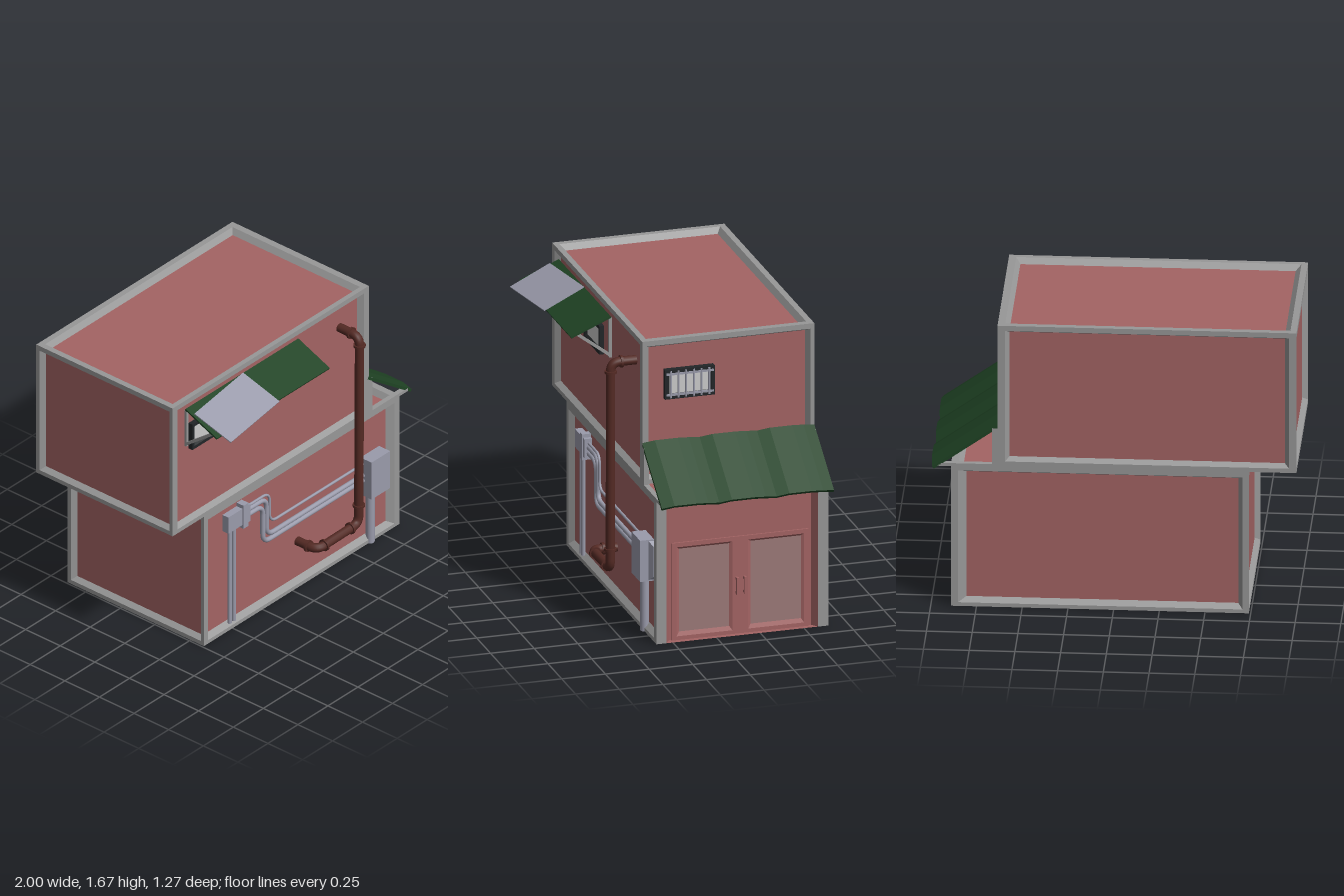
import * as THREE from 'three';

const mat = (color, flatShading = false) =>
  new THREE.MeshStandardMaterial({ color, flatShading, roughness: 0.9, side: THREE.DoubleSide });
const M = {
  frame: mat(0x979797, true),
  wall: mat(0xa36363, true),
  glass: mat(0x9c7a78),
  pane: mat(0xc0c0c0),
  dark: mat(0x222628, true),
  green: mat(0x1f4324, true),
  metal: mat(0x9a9bab, true),
  conduit: mat(0x9a9bab),
  rust: mat(0x542a24),
};
const V = (x, y, z) => new THREE.Vector3(x, y, z);

function add(parent, name, geo, material, x = 0, y = 0, z = 0) {
  const m = new THREE.Mesh(geo, material);
  m.name = name;
  m.position.set(x, y, z);
  parent.add(m);
  return m;
}
const box = (p, name, material, w, h, d, x, y, z) => add(p, name, new THREE.BoxGeometry(w, h, d), material, x, y, z);

// Box bar between two points
function bar(p, name, material, a, b, t) {
  const m = box(p, name, material, t, t, a.distanceTo(b), 0, 0, 0);
  m.position.copy(a).add(b).multiplyScalar(0.5);
  m.lookAt(b);
}

// Bevelled frame around an inset panel, facing +z; no panelMat leaves it open.
// flat and inner are [left, right, bottom, top] insets; skirt adds side walls behind.
const none = [0, 0, 0, 0];
function insetPanel(name, w, h, flat, inner, depth, frameMat, panelMat, skirt = 0, bevelMat = frameMat) {
  const ring = ([l, r, b, t], z) => [
    V(-w / 2 + l, -h / 2 + b, z), V(w / 2 - r, -h / 2 + b, z), V(w / 2 - r, h / 2 - t, z), V(-w / 2 + l, h / 2 - t, z)];
  const back = ring(none, -skirt), outer = ring(none, 0), lip = ring(flat, 0), floor = ring(inner, -depth);
  const band = (o, q) => o.flatMap((_, k) => {
    const n = (k + 1) % 4;
    return [o[k], o[n], q[n], o[k], q[n], q[k]];
  });
  const g = new THREE.Group();
  g.name = name;
  const build = (part, points, material) => {
    const geo = new THREE.BufferGeometry().setFromPoints(points);
    geo.computeVertexNormals();
    add(g, name + part, geo, material);
  };
  const frame = [...(skirt ? band(back, outer) : []), ...(flat === none ? [] : band(outer, lip))];
  if (frame.length) build('Frame', frame, frameMat);
  if (depth) build('Bevel', band(lip, floor), bevelMat);
  const [a, b, c, d] = floor;
  if (panelMat) build('Panel', [a, b, c, a, c, d], panelMat);
  return g;
}

function place(parent, obj, x, y, z, rx = 0, ry = 0) {
  obj.position.set(x, y, z);
  obj.rotation.set(rx, ry, 0);
  parent.add(obj);
}

// One storey: six framed faces, each given as [flat, inner, depth, panel, bevel]
function storey(root, name, x0, x1, y0, y1, z0, z1, insets) {
  const g = new THREE.Group();
  g.name = name;
  root.add(g);
  const W = x1 - x0, H = y1 - y0, D = z1 - z0;
  const cx = (x0 + x1) / 2, cy = (y0 + y1) / 2, cz = (z0 + z1) / 2, P = Math.PI;
  const faces = [
    ['front', W, H, cx, cy, z1, 0, 0], ['back', W, H, cx, cy, z0, 0, P],
    ['right', D, H, x1, cy, cz, 0, P / 2], ['left', D, H, x0, cy, cz, 0, -P / 2],
    ['top', W, D, cx, y1, cz, -P / 2, 0], ['bottom', W, D, cx, y0, cz, P / 2, 0]];
  for (const [side, w, h, x, y, z, rx, ry] of faces) {
    const [f, s, d, panel = M.wall, bevel = M.frame] = insets[side];
    place(g, insetPanel(side + 'Wall', w, h, f, s, d, M.frame, panel, 0, bevel), x, y, z, rx, ry);
  }
}

// Tube through points with rounded corners
function pipe(p, name, pts, r, bend, material, seg = 90) {
  const path = new THREE.CurvePath();
  let last = pts[0];
  for (let i = 1; i < pts.length - 1; i++) {
    const toward = (q) => pts[i].clone().add(q.clone().sub(pts[i]).setLength(bend));
    const a = toward(pts[i - 1]), b = toward(pts[i + 1]);
    path.add(new THREE.LineCurve3(last, a));
    path.add(new THREE.QuadraticBezierCurve3(a, pts[i], b));
    last = b;
  }
  path.add(new THREE.LineCurve3(last, pts[pts.length - 1]));
  add(p, name, new THREE.TubeGeometry(path, seg, r, 12), material);
}

function buildWindow(root, name, w, h) {
  const g = insetPanel(name, w, h, Array(4).fill(0.019), [0.028, 0.028, 0.03, 0.028], 0.012, M.dark, M.pane, 0.035);
  root.add(g);
  return g;
}

export function createModel() {
  const root = new THREE.Group();
  root.name = 'building';

  // Storeys; the lower one is open underneath
  const long = [[0.04, 0.04, 0.025, 0.03], [0.065, 0.065, 0.045, 0.045], 0.03];
  const short = [[0.025, 0.022, 0.025, 0.03], [0.045, 0.043, 0.045, 0.045], 0.03];
  const roofInset = [[0.035, 0.04, 0.03, 0.035], [0.065, 0.065, 0.057, 0.058], 0.03];
  storey(root, 'upperStorey', -1, 0.635, 0.84, 1.67, -0.64, 0.345, {
    front: long, back: long, right: short, left: short, top: roofInset, bottom: roofInset });
  storey(root, 'lowerStorey', -0.74, 0.89, 0, 0.84, -0.64, 0.345, {
    front: [[0.035, 0.04, 0.022, 0.035], [0.06, 0.083, 0.048, 0.05], 0.03],
    back: [[0.04, 0.035, 0.022, 0.035], [0.083, 0.06, 0.048, 0.05], 0.03],
    right: [[0.058, 0.06, 0, 0.04], [0.083, 0.087, 0, 0.043], 0.04, M.wall, M.wall],
    left: short,
    top: roofInset,
    bottom: [[0.034, 0, 0.034, 0.034], none, 0, null],
  });
  for (const z of [0.316, -0.61]) box(root, 'postFoot', M.frame, 0.044, 0.02, 0.054, 0.866, 0.011, z);
  place(root, insetPanel('room', 1.552, 0.917, none, none, 0, M.wall, M.wall, 0.802), 0.07, 0.803, -0.1475, -Math.PI / 2);
  box(root, 'partition', M.wall, 0.02, 0.77, 0.91, -0.54, 0.405, -0.1475);

  // Double doors: one slab with two glazed openings and handles
  const slab = new THREE.Shape([[-0.392, 0], [0.392, 0], [0.392, 0.565], [-0.392, 0.565]].map((p) => new THREE.Vector2(...p)));
  const doors = new THREE.Group();
  doors.name = 'doors';
  for (const s of [-0.205, 0.205]) {
    const hole = [[s - 0.16, 0.022], [s - 0.16, 0.54], [s + 0.16, 0.54], [s + 0.16, 0.022]];
    slab.holes.push(new THREE.Path(hole.map((p) => new THREE.Vector2(...p))));
    place(doors, insetPanel('doorGlass', 0.32, 0.518, none, [0.016, 0.016, 0.024, 0.012], 0.009, M.wall, M.glass), s, 0.281, 0.01);
    const h = Math.sign(s) * 0.0225;
    box(doors, 'doorHandle', M.wall, 0.014, 0.1, 0.01, h, 0.285, 0.034);
    for (const y of [0.245, 0.325]) box(doors, 'handleMount', M.wall, 0.012, 0.014, 0.024, h, y, 0.02);
  }
  add(doors, 'doorSlab', new THREE.ExtrudeGeometry(slab, { depth: 0.01, bevelEnabled: false }), M.wall);
  place(root, doors, 0.8505, 0, -0.145, 0, Math.PI / 2);

  // Windows
  for (const x of [-0.69, -0.293]) buildWindow(root, 'frontWindow', 0.285, 0.165).position.set(x, 1.4, 0.343);
  const side = buildWindow(root, 'sideWindow', 0.285, 0.17);
  side.position.set(0.638, 1.405, 0.073);
  side.rotation.y = Math.PI / 2;
  for (let i = 0; i < 6; i++) {
    add(side, 'windowBar', new THREE.CylinderGeometry(0.006, 0.006, 0.155, 8), M.conduit, -0.11 + i * 0.044, 0, 0.001);
  }
  for (const y of [-0.06, 0.06]) box(side, 'windowRail', M.metal, 0.27, 0.012, 0.008, 0, y, 0.001);

  // Front awning with a loose metal sheet
  const awning = new THREE.Group();
  awning.name = 'frontAwning';
  awning.position.set(0, 1.608, 0.34);
  awning.rotation.x = Math.atan2(0.095, 0.225);
  root.add(awning);
  box(awning, 'awningRoof', M.green, 0.94, 0.01, 0.247, -0.419, 0, 0.1235);
  const sheet = box(awning, 'looseSheet', M.metal, 0.465, 0.006, 0.26, -0.632, 0.012, 0.158);
  sheet.rotation.y = 0.115;
  for (const x of [-0.88, 0.035]) {
    bar(root, 'awningPost', M.frame, V(x, 1.37, 0.34), V(x, 1.6, 0.34), 0.016);
    bar(root, 'awningStrut', M.frame, V(x, 1.385, 0.345), V(x, 1.525, 0.53), 0.016);
  }

  // Wavy side awning: a corrugated profile swept down the slope
  const wave = [];
  for (let i = 0; i < 3; i++) {
    const s = -0.345 + i * 0.3283;
    wave.push([s, -0.009], [s + 0.07, 0.006], [s + 0.2, 0.006], [s + 0.265, 0]);
  }
  wave.push([0.64, -0.009]);
  const profile = new THREE.Shape([
    ...wave.map(([s, y]) => new THREE.Vector2(s, y)),
    ...[...wave].reverse().map(([s, y]) => new THREE.Vector2(s, y - 0.016))]);
  const roof = add(root, 'sideAwning', new THREE.ExtrudeGeometry(profile, { depth: 0.441, bevelEnabled: false }), M.green, 0.639, 1.088, 0);
  const down = V(0.355, -0.253, 0).normalize(), along = V(0, 0, -1);
  roof.quaternion.setFromRotationMatrix(new THREE.Matrix4().makeBasis(along, down.clone().cross(along), down));
  for (const z of [0.33, -0.625]) {
    box(root, 'sideAwningPost', M.frame, 0.03, 0.22, 0.03, 0.65, 0.95, z);
    box(root, 'sideAwningArm', M.frame, 0.325, 0.018, 0.03, 0.8, 0.838, z);
  }

  // Rusty drain pipe with collars
  pipe(root, 'drainPipe', [V(0.425, 1.49, 0.314), V(0.425, 1.49, 0.46), V(0.418, 0.285, 0.46),
    V(0.075, 0.275, 0.455), V(0.075, 0.275, 0.314)], 0.026, 0.055, M.rust, 200);
  const collar = (x, y, z, axis) => {
    const c = add(root, 'pipeCollar', new THREE.CylinderGeometry(0.034, 0.034, 0.014, 16), M.rust, x, y, z);
    if (axis === 'x') c.rotation.z = Math.PI / 2;
    if (axis === 'z') c.rotation.x = Math.PI / 2;
  };
  collar(0.425, 1.435, 0.46, 'y');
  collar(0.419, 0.4, 0.46, 'y');
  collar(0.35, 0.283, 0.459, 'x');
  collar(0.135, 0.277, 0.456, 'x');
  collar(0.425, 1.49, 0.4, 'z');
  collar(0.075, 0.275, 0.395, 'z');

  // Junction box on the left of the front wall
  box(root, 'junctionBox', M.metal, 0.12, 0.105, 0.043, -0.49, 0.695, 0.336);
  box(root, 'junctionFlange', M.metal, 0.04, 0.15, 0.05, -0.412, 0.695, 0.34);
  box(root, 'junctionOutlet', M.metal, 0.025, 0.11, 0.045, -0.38, 0.695, 0.338);
  for (const x of [-0.51, -0.475]) {
    add(root, 'groundConduit', new THREE.CylinderGeometry(0.012, 0.012, 0.61, 12), M.conduit, x, 0.34, 0.332);
  }

  // Conduits running to the meter box
  for (const [y, x, yEnd, r] of [[0.722, -0.178, 0.525, 0.008], [0.698, -0.205, 0.453, 0.014], [0.664, -0.235, 0.42, 0.014]]) {
    pipe(root, 'conduit', [V(-0.37, y, 0.333), V(x, y, 0.333), V(x, yEnd, 0.333), V(0.61, yEnd, 0.333)], r, 0.06, M.conduit);
  }

  // Meter box with a tapered side and a pipe to the ground
  box(root, 'meterBox', M.metal, 0.155, 0.24, 0.08, 0.677, 0.44, 0.355);
  const taper = insetPanel('meterBoxSide', 0.032, 0.225, none, [0.02, 0, 0.025, 0.025], -0.031, M.metal, M.metal);
  place(root, taper, 0.754, 0.44, 0.331, 0, Math.PI / 2);
  add(root, 'meterPipe', new THREE.CylinderGeometry(0.025, 0.025, 0.32, 16), M.conduit, 0.655, 0.16, 0.338);

  return root;
}
